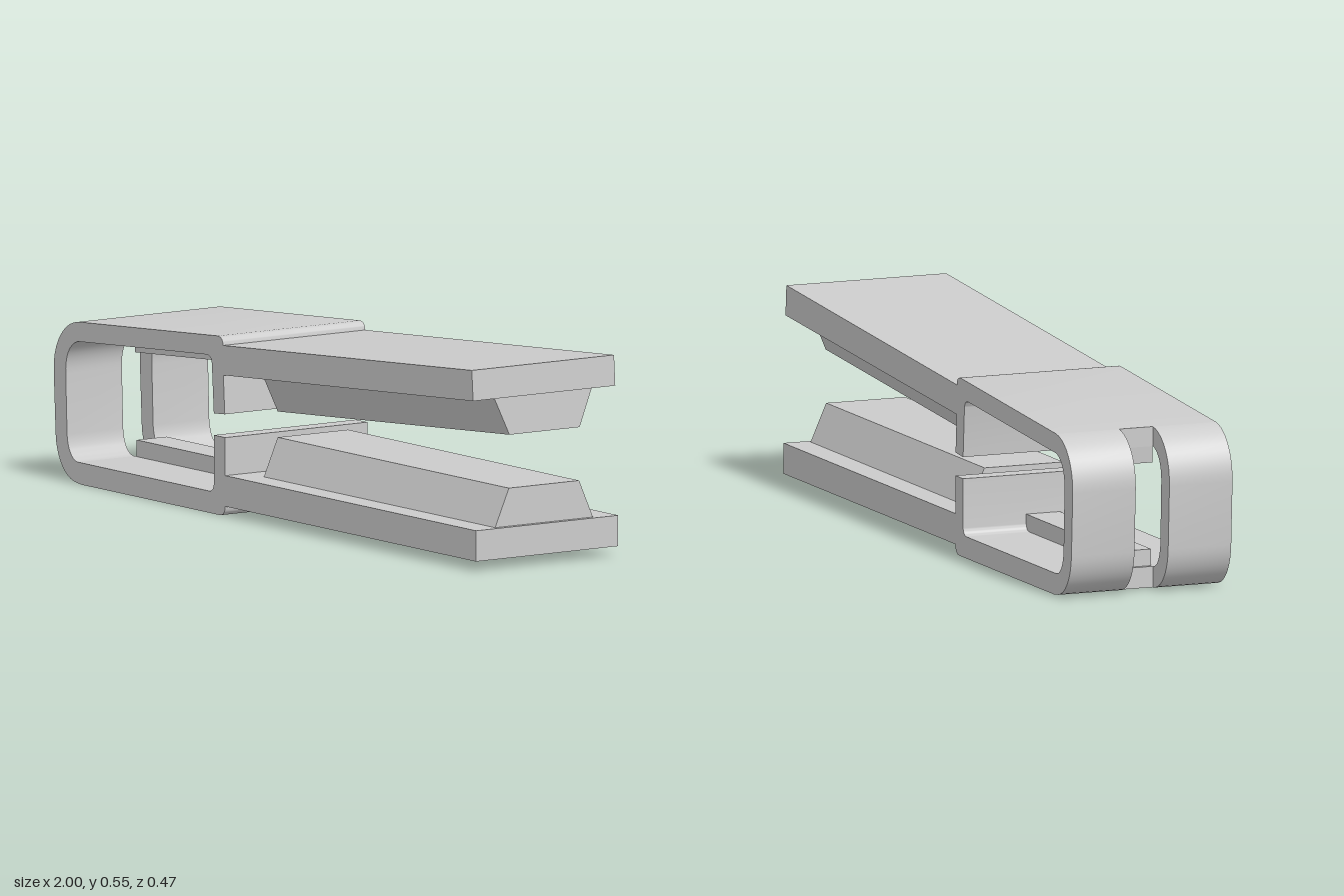
import * as THREE from 'three';
import { toCreasedNormals } from 'three/addons/utils/BufferGeometryUtils.js';

const HALF = 0.237; // half width of the clip
const SLOT = 0.05; // half width of the slot in the spring end
const TILT = 0.0695; // opening angle of the upper arm

export function createModel() {
  const group = new THREE.Group();
  const material = new THREE.MeshStandardMaterial({ color: 0xcccccc });

  const add = (name, geometry) => {
    const mesh = new THREE.Mesh(toCreasedNormals(geometry, 0.6), material);
    mesh.name = name;
    group.add(mesh);
    return mesh;
  };

  // Extrude a side profile from z0 to z1
  const slab = (name, shape, z0, z1) => {
    const g = new THREE.ExtrudeGeometry(shape, { depth: z1 - z0, bevelEnabled: false, curveSegments: 10 });
    return add(name, g.translate(0, 0, z0));
  };

  // Bar along the arm with a tapered cross-section; negative height hangs down
  const bar = (name, x, y, length, height, baseHalf, tipHalf, angle = 0) => {
    const s = new THREE.Shape([
      [-baseHalf, 0], [baseHalf, 0], [tipHalf, height], [-tipHalf, height],
    ].map(([a, b]) => new THREE.Vector2(a, b)));
    const g = new THREE.ExtrudeGeometry(s, { depth: length, bevelEnabled: false });
    const mesh = add(name, g.rotateY(Math.PI / 2));
    mesh.position.set(x, y, 0);
    mesh.rotation.z = angle;
  };

  // Lower arm with its upright stop
  const lower = new THREE.Shape();
  lower.moveTo(-0.885, 0.002);
  lower.lineTo(-0.87, 0);
  lower.lineTo(-0.215, 0);
  lower.quadraticCurveTo(-0.19, 0, -0.188, 0.027);
  lower.lineTo(1, 0.027);
  lower.lineTo(1, 0.112);
  lower.lineTo(-0.188, 0.112);
  lower.lineTo(-0.188, 0.217);
  lower.lineTo(-0.242, 0.217);
  lower.lineTo(-0.242, 0.085);
  lower.quadraticCurveTo(-0.242, 0.06, -0.267, 0.06);
  lower.lineTo(-0.885, 0.06);
  slab('lowerArm', lower, -HALF, HALF);

  // Upper arm with its hanging stop
  const upper = new THREE.Shape();
  upper.moveTo(-0.885, 0.447);
  upper.lineTo(-0.225, 0.493);
  upper.quadraticCurveTo(-0.2, 0.494, -0.198, 0.47);
  upper.lineTo(0.98, 0.552);
  upper.lineTo(0.986, 0.468);
  upper.lineTo(-0.197, 0.388);
  upper.lineTo(-0.19, 0.281);
  upper.lineTo(-0.242, 0.277);
  upper.lineTo(-0.251, 0.411);
  upper.quadraticCurveTo(-0.253, 0.437, -0.278, 0.435);
  upper.lineTo(-0.885, 0.393);
  slab('upperArm', upper, -HALF, HALF);

  // Rounded spring end, split in two by the slot
  const loop = new THREE.Shape();
  loop.moveTo(-0.885, 0.002);
  loop.bezierCurveTo(-0.945, 0.004, -0.988, 0.06, -0.991, 0.125);
  loop.lineTo(-1, 0.3);
  loop.bezierCurveTo(-1.003, 0.38, -0.95, 0.44, -0.885, 0.447);
  loop.lineTo(-0.885, 0.393);
  loop.bezierCurveTo(-0.918, 0.385, -0.947, 0.355, -0.943, 0.295);
  loop.lineTo(-0.937, 0.13);
  loop.bezierCurveTo(-0.933, 0.09, -0.915, 0.062, -0.885, 0.06);
  slab('frontSpring', loop, SLOT, HALF);
  slab('backSpring', loop, -HALF, -SLOT);

  // Tapered jaw pads
  bar('lowerJawPad', -0.11, 0.112, 1.095, 0.105, 0.163, 0.117);
  bar('upperJawPad', -0.117, 0.393, 1.1, -0.105, 0.163, 0.117, TILT);

  // Stiffening ribs inside the spring
  bar('lowerRib', -0.873, 0.06, 0.633, 0.046, SLOT, SLOT);
  bar('upperRib', -0.884, 0.393, 0.635, -0.046, SLOT, SLOT, TILT);

  return group;
}
